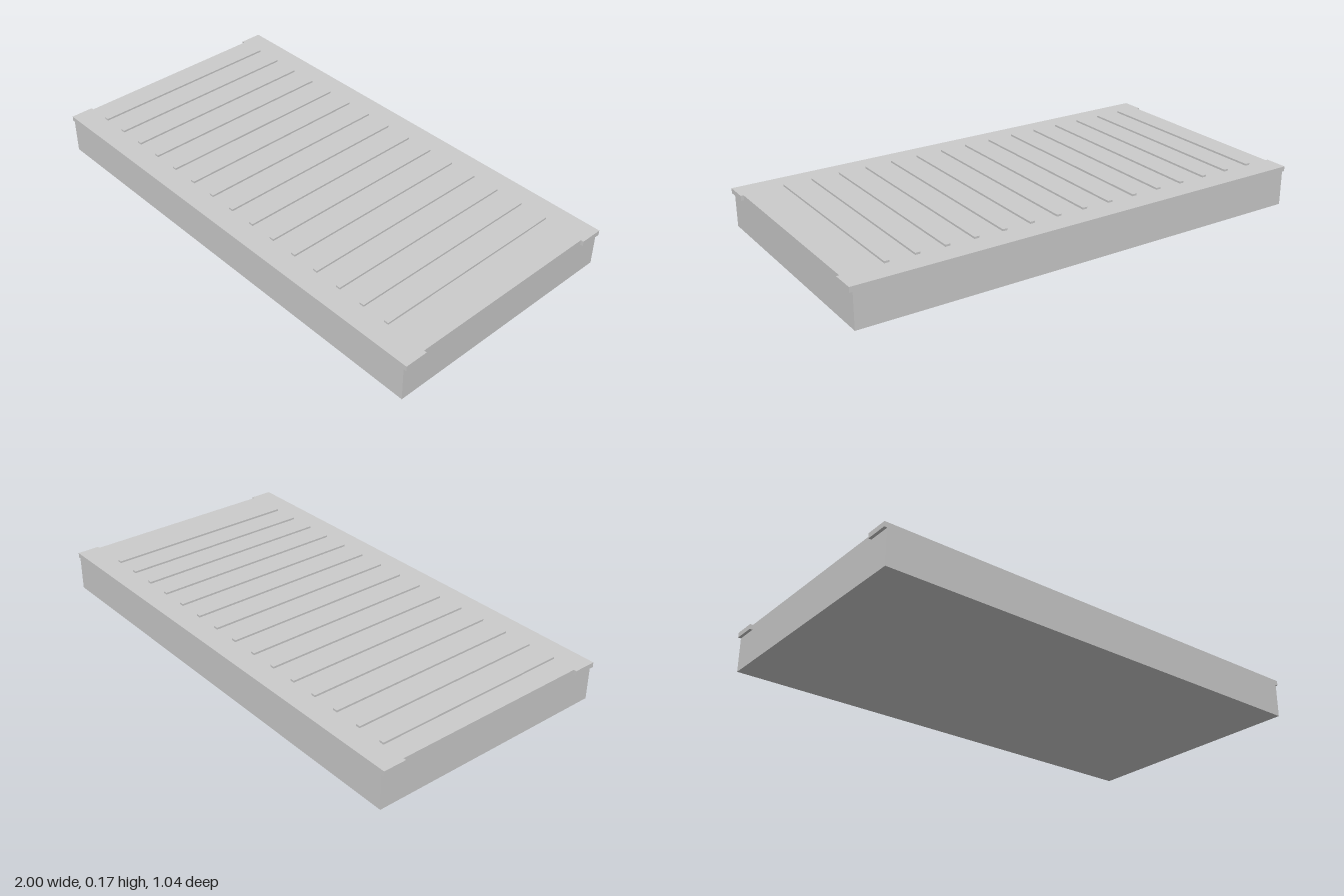
import * as THREE from 'three';

export function createModel() {
  const model = new THREE.Group();
  model.name = 'ribbedTray';
  const material = new THREE.MeshStandardMaterial({ color: 0xcccccc, flatShading: true });

  // Box given by its lower and upper corners
  function addBox(name, [x0, y0, z0], [x1, y1, z1]) {
    const mesh = new THREE.Mesh(new THREE.BoxGeometry(x1 - x0, y1 - y0, z1 - z0), material);
    mesh.position.set((x0 + x1) / 2, (y0 + y1) / 2, (z0 + z1) / 2);
    mesh.name = name;
    model.add(mesh);
  }

  const halfWidth = 0.988, halfDepth = 0.522, top = 0.166;

  // Main slab
  addBox('slab', [-halfWidth, 0, -halfDepth], [halfWidth, top, halfDepth]);

  // Small lips at the four upper corners
  for (const sx of [-1, 1]) {
    for (const sz of [-1, 1]) {
      const xs = [sx * halfWidth, sx].sort((a, b) => a - b);
      const zs = [sz * 0.425, sz * halfDepth].sort((a, b) => a - b);
      addBox('cornerLip', [xs[0], 0.145, zs[0]], [xs[1], top, zs[1]]);
    }
  }

  // Row of raised ribs, slightly offset towards the right end
  const ribCount = 15, ribHalf = 0.01;
  for (let i = 0; i < ribCount; i++) {
    const x = -0.881 + i * 0.1208;
    addBox('rib', [x - ribHalf, top, -0.427], [x + ribHalf, 0.174, 0.427]);
  }

  return model;
}
